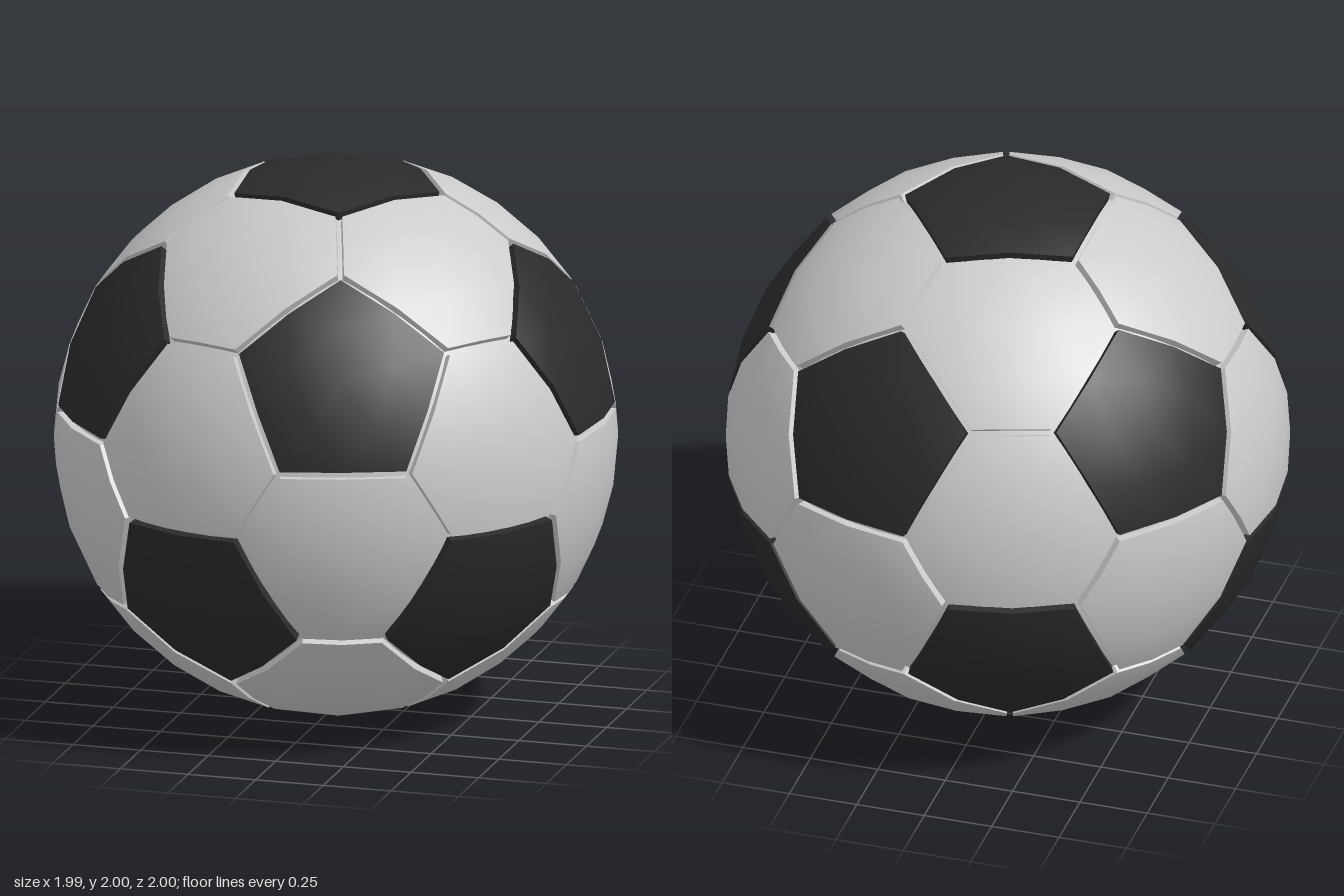
import * as THREE from 'three';

const CORNER = THREE.MathUtils.degToRad(23.3); // pentagon centre to seam corner
const RIM = { inset: 0.012, radius: 1 };
const FOOT = { inset: 0.008, radius: 0.968 };

// The twelve pentagon centres: an icosahedron standing on a corner
function pentagonCentres() {
  const y = 1 / Math.sqrt(5), r = 2 * y;
  const list = [new THREE.Vector3(0, 1, 0), new THREE.Vector3(0, -1, 0)];
  for (let k = 0; k < 5; k++) {
    const a = k * Math.PI * 0.4, b = a + Math.PI * 0.2;
    list.push(new THREE.Vector3(r * Math.cos(a), y, r * Math.sin(a)));
    list.push(new THREE.Vector3(r * Math.cos(b), -y, r * Math.sin(b)));
  }
  return list;
}

// Seam corner on the arc from pentagon centre a towards b
function seamCorner(a, b) {
  const side = b.clone().addScaledVector(a, -a.dot(b)).normalize();
  return a.clone().multiplyScalar(Math.cos(CORNER)).addScaledVector(side, Math.sin(CORNER));
}

// Pull the corners inwards from the seam, then add a midpoint on every edge
function outline(corners, { inset, radius }) {
  const n = corners.length;
  const normals = corners.map((c, i) => c.clone().cross(corners[(i + 1) % n]).normalize());
  const pts = corners.map((c, i) => {
    const n1 = normals[(i + n - 1) % n], n2 = normals[i];
    const q = n1.clone().add(n2).multiplyScalar(inset / (1 + n1.dot(n2)));
    return q.addScaledVector(c, Math.sqrt(1 - q.lengthSq()));
  });
  return pts
    .flatMap((p, i) => [p, p.clone().add(pts[(i + 1) % n]).normalize()])
    .map((p) => p.multiplyScalar(radius));
}

// Domed panel with a thin wall around its rim; corners run counter-clockwise
function panelGeometry(corners) {
  const n = corners.length, position = [], normal = [];
  const rim = outline(corners, RIM), foot = outline(corners, FOOT);
  const centre = corners.reduce((s, c) => s.add(c), new THREE.Vector3()).normalize();
  const spoke = corners.map((_, i) => rim[2 * i].clone().add(centre).normalize());
  const tri = (a, b, c, flat) => {
    const face = b.clone().sub(a).cross(c.clone().sub(a)).normalize();
    for (const p of [a, b, c]) {
      position.push(...p);
      normal.push(...(flat ? face : p.clone().normalize()));
    }
  };
  for (let i = 0; i < n; i++) {
    const j = (i + 1) % n, mid = rim[2 * i + 1];
    tri(centre, spoke[i], spoke[j]);
    tri(spoke[i], rim[2 * i], mid);
    tri(spoke[i], mid, spoke[j]);
    tri(spoke[j], mid, rim[2 * j]);
  }
  for (let i = 0; i < 2 * n; i++) {
    const j = (i + 1) % (2 * n);
    tri(rim[i], foot[i], foot[j], true);
    tri(rim[i], foot[j], rim[j], true);
  }
  const g = new THREE.BufferGeometry();
  g.setAttribute('position', new THREE.Float32BufferAttribute(position, 3));
  g.setAttribute('normal', new THREE.Float32BufferAttribute(normal, 3));
  return g;
}

export function createModel() {
  const model = new THREE.Group();
  model.name = 'ball';
  const grey = new THREE.MeshStandardMaterial({ color: 0xcccccc });
  const black = new THREE.MeshStandardMaterial({ color: 0x2a2a2a });
  const add = (name, geometry, material) => {
    const mesh = new THREE.Mesh(geometry, material);
    mesh.name = name;
    mesh.position.y = 1;
    model.add(mesh);
  };

  // Seam floor
  add('core', new THREE.SphereGeometry(0.97, 64, 40), grey);

  const centres = pentagonCentres();
  const near = (a, b) => a !== b && a.dot(b) > 0.4;

  // Black pentagons, one per centre
  for (const a of centres) {
    const around = centres.filter((b) => near(a, b));
    const u = around[0].clone().addScaledVector(a, -a.dot(around[0])).normalize();
    const v = a.clone().cross(u);
    const angle = (p) => Math.atan2(p.dot(v), p.dot(u));
    around.sort((p, q) => angle(p) - angle(q));
    add('pentagonPanel', panelGeometry(around.map((b) => seamCorner(a, b))), black);
  }

  // Grey hexagons, one between every three neighbouring centres
  for (let i = 0; i < 12; i++) for (let j = i + 1; j < 12; j++) for (let k = j + 1; k < 12; k++) {
    let [a, b, c] = [centres[i], centres[j], centres[k]];
    if (!near(a, b) || !near(b, c) || !near(a, c)) continue;
    if (a.clone().cross(b).dot(c) < 0) [b, c] = [c, b];
    const pairs = [[a, b], [b, a], [b, c], [c, b], [c, a], [a, c]];
    add('hexagonPanel', panelGeometry(pairs.map(([p, q]) => seamCorner(p, q))), grey);
  }
  return model;
}
